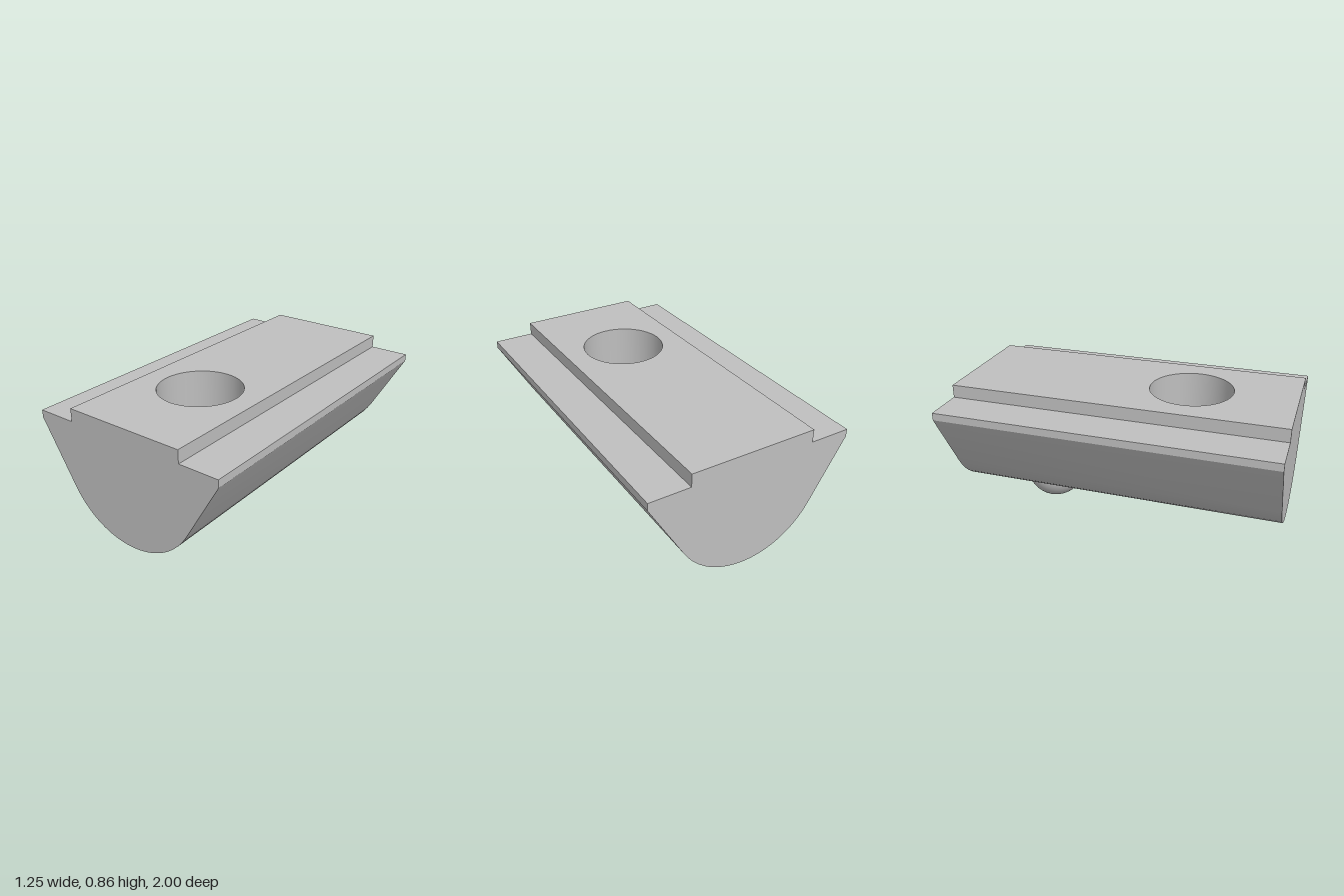
import * as THREE from 'three';
import { toCreasedNormals } from 'three/addons/utils/BufferGeometryUtils.js';

const HALF_LENGTH = 1, TOP = 0.858, SHOULDER = 0.78, RIB = 0.38;
const EDGE_X = 0.625, EDGE_Y = 0.735;           // lower corner of the side lips
const BELLY_R = 0.4725, BELLY_Y = 0.5975;       // rounded underside
const HOLE_R = 0.25, HOLE_Z = 0.375, HOLE_SEGMENTS = 48;

const bellyHeight = (x) => BELLY_Y - Math.sqrt(BELLY_R ** 2 - x * x);

// Cross-section, counter-clockwise, with extra points across the hole
function makeOutline() {
  const holeX = [];
  for (let i = -HOLE_SEGMENTS / 4; i <= HOLE_SEGMENTS / 4; i++) {
    holeX.push(HOLE_R * Math.sin((i * 2 * Math.PI) / HOLE_SEGMENTS));
  }
  const arcX = [36, 42, 48, 54, 60].map((d) => BELLY_R * Math.sin(THREE.MathUtils.degToRad(d)));
  const bellyX = [...arcX.map((x) => -x).reverse(), ...holeX, ...arcX];
  const top = [...holeX].reverse().map((x) => [x, TOP]);
  return [
    [-EDGE_X, EDGE_Y],
    ...bellyX.map((x) => [x, bellyHeight(x)]),
    [EDGE_X, EDGE_Y], [EDGE_X, SHOULDER], [RIB, SHOULDER], [RIB, TOP],
    ...top,
    [-RIB, TOP], [-RIB, SHOULDER], [-EDGE_X, SHOULDER],
  ].map(([x, y]) => new THREE.Vector2(x, y));
}

// Long faces: one strip per outline edge, parted around the hole
function makeSkin(outline) {
  const positions = [];
  const strip = (a, b, a0, a1, b0, b1) => positions.push(
    a.x, a.y, a0, b.x, b.y, b0, b.x, b.y, b1,
    a.x, a.y, a0, b.x, b.y, b1, a.x, a.y, a1,
  );
  const inHole = (p) => Math.abs(p.x) <= HOLE_R + 1e-6;
  const halfWidth = (p) => Math.sqrt(Math.max(0, HOLE_R ** 2 - p.x ** 2));
  outline.forEach((a, i) => {
    const b = outline[(i + 1) % outline.length];
    if (inHole(a) && inHole(b)) {
      const wa = halfWidth(a), wb = halfWidth(b);
      strip(a, b, -HALF_LENGTH, HOLE_Z - wa, -HALF_LENGTH, HOLE_Z - wb);
      strip(a, b, HOLE_Z + wa, HALF_LENGTH, HOLE_Z + wb, HALF_LENGTH);
    } else {
      strip(a, b, -HALF_LENGTH, HALF_LENGTH, -HALF_LENGTH, HALF_LENGTH);
    }
  });
  const geometry = new THREE.BufferGeometry();
  geometry.setAttribute('position', new THREE.Float32BufferAttribute(positions, 3));
  return toCreasedNormals(geometry, 0.4);
}

// Inward-facing tube whose lower rim follows the rounded underside
function makeHoleWall() {
  const geometry = new THREE.LatheGeometry(
    [new THREE.Vector2(HOLE_R, TOP), new THREE.Vector2(HOLE_R, 0)], HOLE_SEGMENTS);
  const p = geometry.attributes.position;
  for (let i = 0; i < p.count; i++) {
    if (p.getY(i) < 0.1) p.setY(i, bellyHeight(p.getX(i)));
  }
  return geometry;
}

export function createModel() {
  const group = new THREE.Group();
  group.name = 'slotNut';
  const steel = new THREE.MeshStandardMaterial({ color: 0xbfbfbf });
  steel.name = 'steel grey';

  const add = (name, geometry) => {
    const mesh = new THREE.Mesh(geometry, steel);
    mesh.name = name;
    group.add(mesh);
    return mesh;
  };

  // Body
  const outline = makeOutline();
  add('bodySkin', makeSkin(outline));
  const cap = new THREE.ShapeGeometry(new THREE.Shape(outline));
  add('frontEnd', cap).position.z = HALF_LENGTH;
  const back = add('backEnd', cap);
  back.position.z = -HALF_LENGTH;
  back.rotation.y = Math.PI;

  // Through hole
  add('holeWall', makeHoleWall()).position.z = HOLE_Z;

  // Spring ball protruding from the underside
  const ballRadius = 0.1875;
  add('springBall', new THREE.SphereGeometry(ballRadius, 40, 14, 0, Math.PI * 2, Math.PI / 2, Math.PI / 2))
    .position.set(0, ballRadius, -0.524);

  return group;
}
